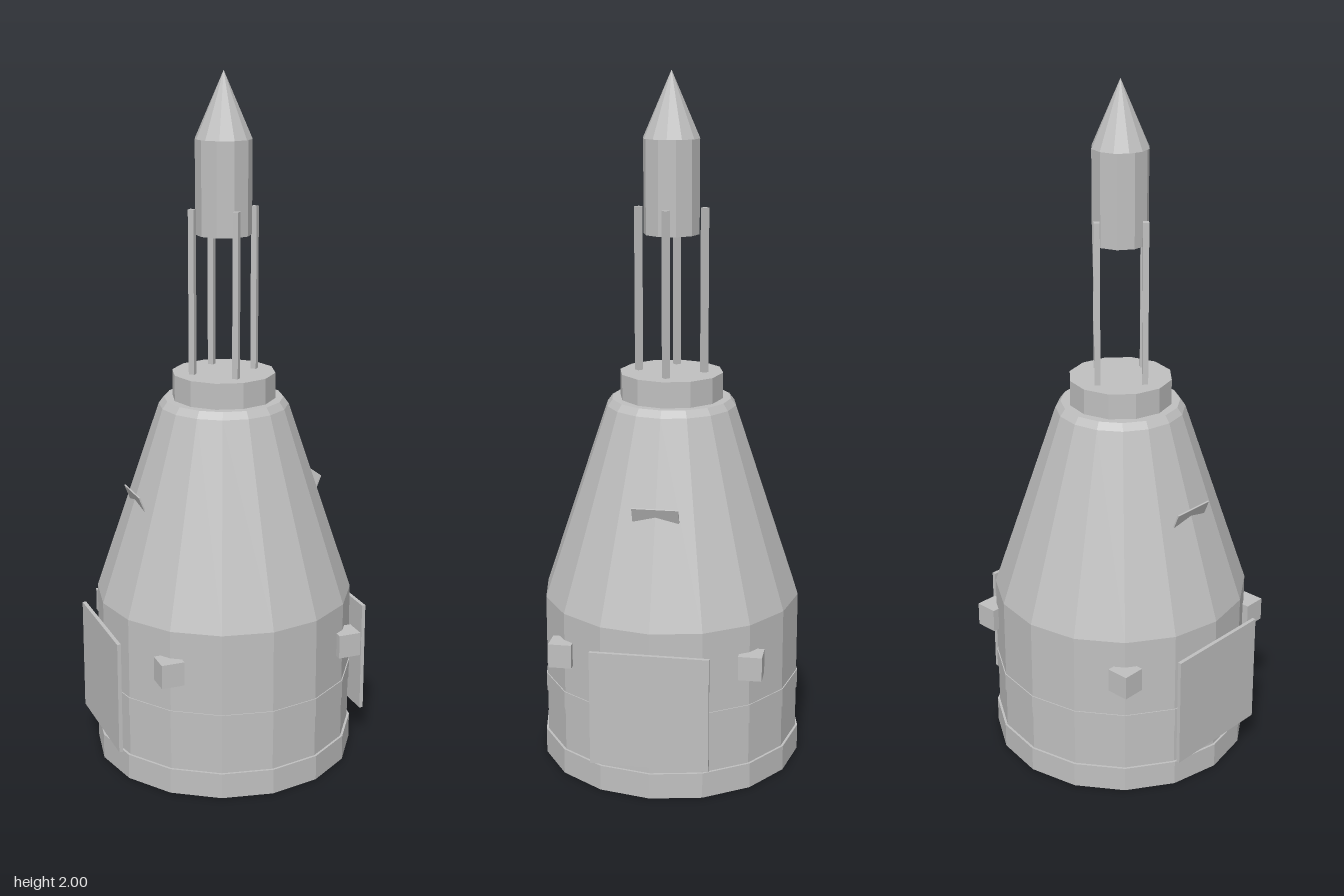
import * as THREE from 'three';

export function createModel() {
  const model = new THREE.Group();
  const grey = new THREE.MeshStandardMaterial({ color: 0xc0c0c0, flatShading: true });
  grey.name = 'hull grey';

  const add = (name, geometry, x = 0, y = 0, z = 0) => {
    const mesh = new THREE.Mesh(geometry, grey);
    mesh.name = name;
    mesh.position.set(x, y, z);
    model.add(mesh);
    return mesh;
  };
  const lathe = (name, profile, sides) =>
    add(name, new THREE.LatheGeometry(profile.map(([r, y]) => new THREE.Vector2(r, y)), sides));

  // Capsule: straight service section, tapered cabin and bevelled top
  lathe('capsuleBody', [[0, 0.07], [0.377, 0.07], [0.377, 0.495], [0.188, 1.06], [0.173, 1.08], [0, 1.08]], 16);

  // Hollow skirt at the base and a slim raised band
  lathe('baseSkirt', [[0.37, 0.075], [0.37, 0], [0.384, 0], [0.384, 0.075], [0.37, 0.075]], 16);
  lathe('hullBand', [[0.37, 0.2], [0.38, 0.2], [0.38, 0.255], [0.37, 0.255]], 16);

  // Docking collar
  lathe('collar', [[0.15, 1.07], [0.15, 1.155], [0, 1.155]], 12);

  // Escape tower: four struts, motor and nose
  for (let i = 0; i < 4; i++) {
    const a = (i * Math.PI) / 2;
    add('towerStrut', new THREE.CylinderGeometry(0.012, 0.012, 0.475, 4),
      0.095 * Math.sin(a), 1.3875, 0.095 * Math.cos(a));
  }
  add('towerMotor', new THREE.CylinderGeometry(0.08, 0.08, 0.265, 10), 0, 1.6825, 0);
  add('towerNose', new THREE.ConeGeometry(0.081, 0.185, 12), 0, 1.9075, 0);

  for (const s of [-1, 1]) {
    // Side panel
    add('sidePanel', new THREE.BoxGeometry(0.011, 0.335, 0.337), s * 0.3845, 0.2675, 0);

    // Grab plate leaning out of the cabin wall
    const plate = add('grabPlate', new THREE.BoxGeometry(0.004, 0.07, 0.132), s * 0.27, 0.793, 0);
    plate.rotation.z = -s * 0.38;

    // Thruster blocks
    for (const t of [-1, 1]) {
      add('thrusterBlock', new THREE.BoxGeometry(0.067, 0.07, 0.067), s * 0.272, 0.38, t * 0.272);
    }
  }
  return model;
}
